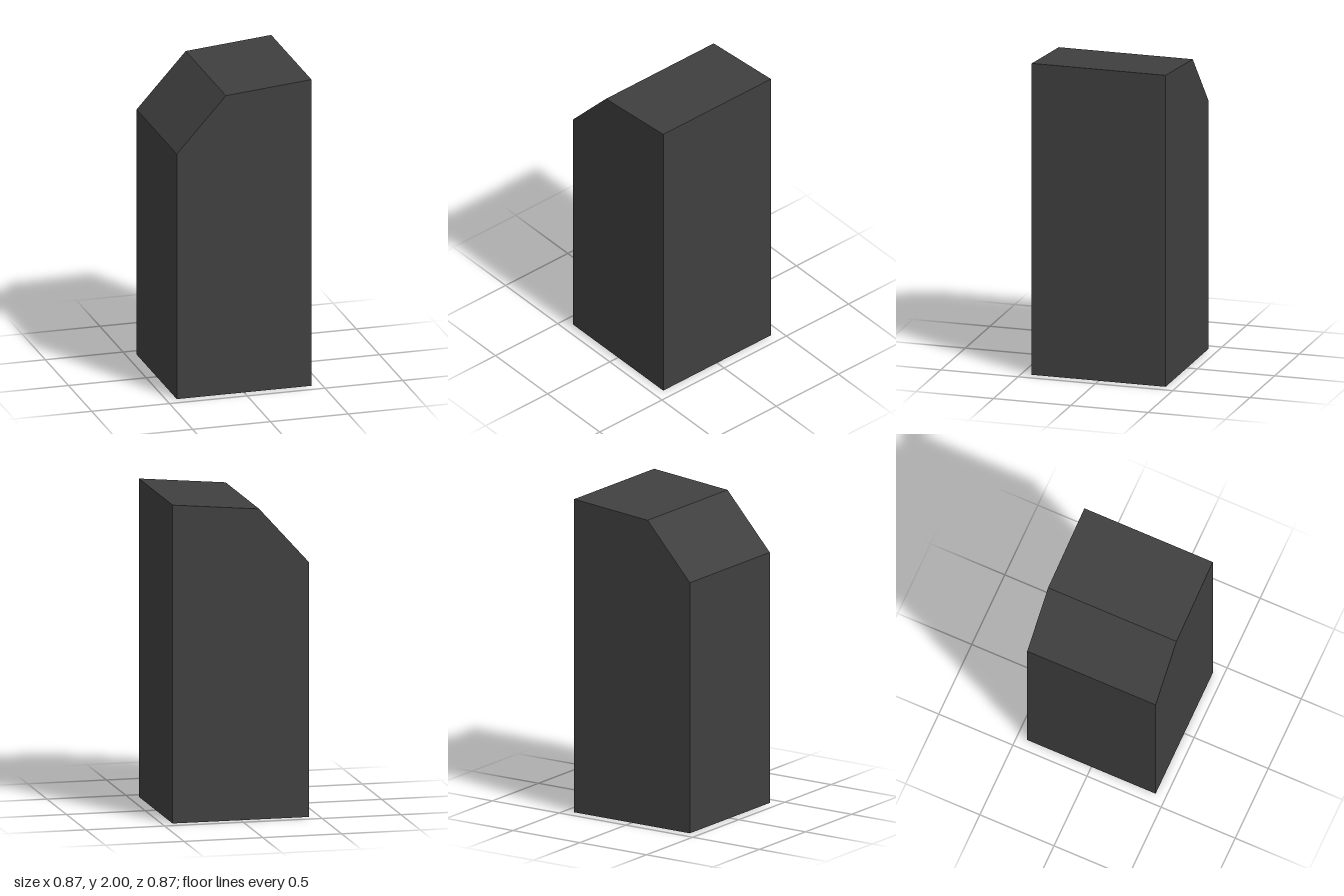
import * as THREE from 'three';

export function createModel() {
  const group = new THREE.Group();
  group.name = 'slantedTower';

  const charcoal = new THREE.MeshStandardMaterial({ color: 0x404040 });
  charcoal.name = 'charcoal';

  const half = 0.433; // half of the square footprint

  // Front outline: upright block with a steep chamfer and a gently sloping roof
  const outline = new THREE.Shape([
    new THREE.Vector2(-half, 0),
    new THREE.Vector2(half, 0),
    new THREE.Vector2(half, 2),
    new THREE.Vector2(-0.117, 1.95),
    new THREE.Vector2(-half, 1.6),
  ]);

  // Tower body, extruded along z and centred
  const geometry = new THREE.ExtrudeGeometry(outline, { depth: half * 2, bevelEnabled: false });
  geometry.translate(0, 0, -half);
  const body = new THREE.Mesh(geometry, charcoal);
  body.name = 'towerBody';
  group.add(body);

  return group;
}
